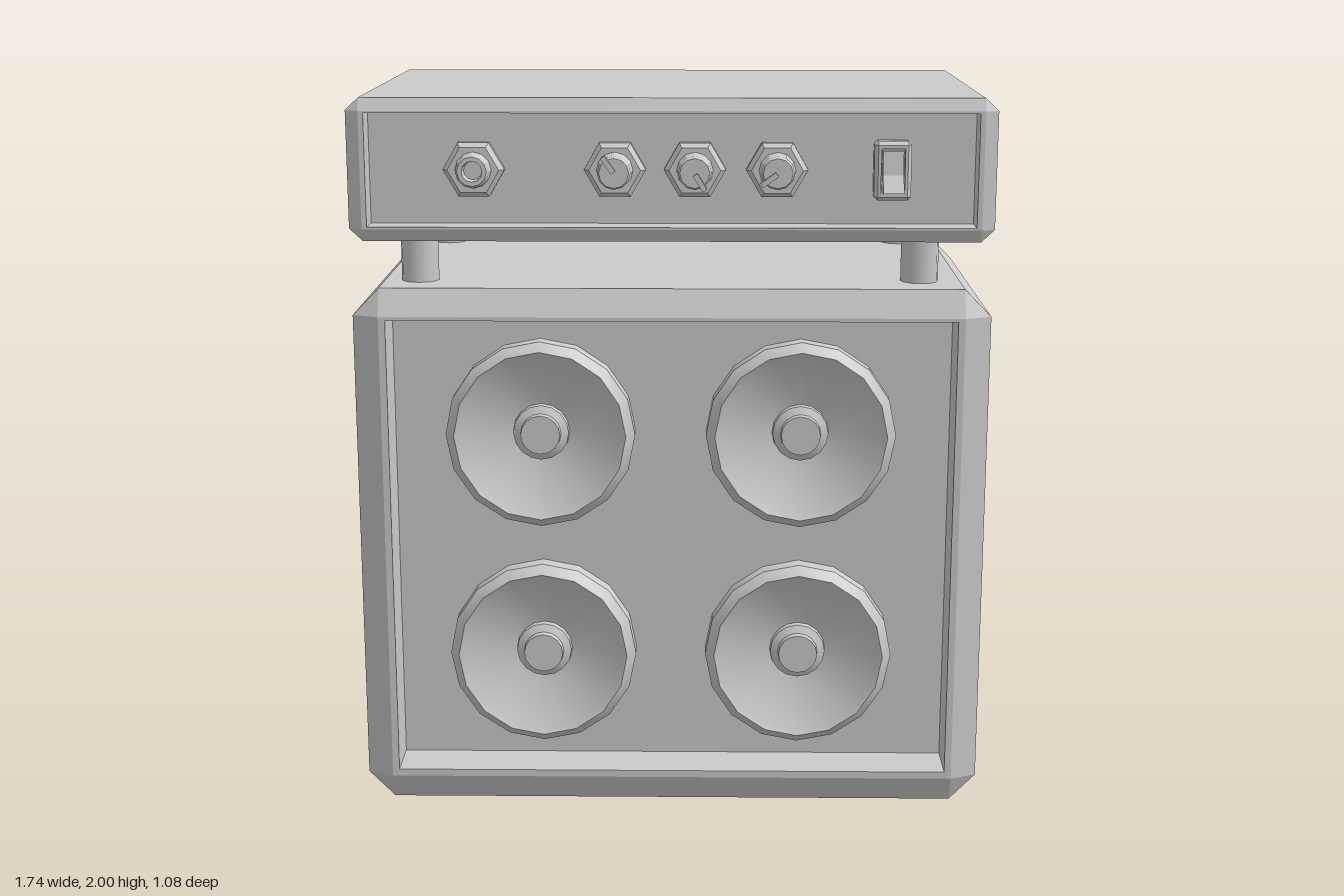
import * as THREE from 'three';
import { toCreasedNormals } from 'three/addons/utils/BufferGeometryUtils.js';

const material = new THREE.MeshStandardMaterial({ color: 0xcccccc });

function addMesh(parent, name, geometry, x = 0, y = 0, z = 0) {
  const mesh = new THREE.Mesh(geometry, material);
  mesh.name = name;
  mesh.position.set(x, y, z);
  parent.add(mesh);
  return mesh;
}

// Eight-point loop: a rectangle with its corners cut by cx and cy
function loop(x, y0, y1, z, cx = 0, cy = 0) {
  return [
    [x, y0 + cy], [x, y1 - cy], [x - cx, y1], [cx - x, y1],
    [-x, y1 - cy], [-x, y0 + cy], [cx - x, y0], [x - cx, y0],
  ].map(([px, py]) => new THREE.Vector3(px, py, z));
}

// Flat faces between successive loops, leaving out collapsed triangles
function loft(loops) {
  const points = [];
  const tri = (a, b, c) => {
    if (new THREE.Triangle(a, b, c).getArea() > 1e-7) points.push(a, b, c);
  };
  for (let k = 0; k < loops.length - 1; k++) {
    for (let i = 0; i < 8; i++) {
      const j = (i + 1) % 8;
      tri(loops[k][i], loops[k][j], loops[k + 1][j]);
      tri(loops[k][i], loops[k + 1][j], loops[k + 1][i]);
    }
  }
  const geometry = new THREE.BufferGeometry().setFromPoints(points);
  geometry.computeVertexNormals();
  return geometry;
}

// Chamfered box with a rectangular recess in its front
function recessedBox({ x, y0, y1, back, front, cx, cy, backCut, frontCut, open, floor }) {
  const mid = (y0 + y1) / 2;
  return loft([
    loop(0, mid, mid, back),
    loop(x - cx, y0 + cy, y1 - cy, back),
    loop(x, y0, y1, back + backCut, cx, cy),
    loop(x, y0, y1, front - frontCut, cx, cy),
    loop(x - cx, y0 + cy, y1 - cy, front),
    loop(open.x, open.y0, open.y1, front),
    loop(open.x, open.y0, open.y1, floor),
    loop(0, mid, mid, floor),
  ]);
}

// Turned part facing +z; profile is [radius, z]
function turned(profile, sides, crease = 0.5) {
  const points = profile.map(([r, z]) => new THREE.Vector2(r, z));
  const geometry = new THREE.LatheGeometry(points, sides).rotateX(Math.PI / 2);
  return toCreasedNormals(geometry, crease);
}

function makeSpeaker() {
  const speaker = new THREE.Group();
  speaker.name = 'speaker';
  addMesh(speaker, 'speakerRimAndCone', turned([
    [0.265, 0], [0.265, 0.05], [0.24, 0.075], [0.228, 0.068], [0.08, 0.005], [0, 0.005],
  ], 16));
  addMesh(speaker, 'speakerHub', turned([
    [0.08, 0], [0.078, 0.025], [0.057, 0.035], [0.055, 0.055], [0, 0.055],
  ], 16));
  return speaker;
}

// Hexagonal nut with points to the left and right
function addNut(parent) {
  const nut = addMesh(parent, 'hexNut', turned([
    [0.084, 0], [0.084, 0.02], [0.07, 0.035], [0, 0.035],
  ], 6, 0.1));
  nut.rotation.z = Math.PI / 2;
  nut.rotation.z = Math.PI / 6 * 3;
}

function makeKnob(turn) {
  const knob = new THREE.Group();
  knob.name = 'knob';
  addNut(knob);
  addMesh(knob, 'knobCap', turned([
    [0.05, 0.03], [0.045, 0.09], [0.04, 0.1], [0, 0.1],
  ], 12));
  const pointer = new THREE.Group();
  pointer.name = 'knobPointer';
  pointer.rotation.z = turn;
  addMesh(pointer, 'pointerRidge', new THREE.BoxGeometry(0.014, 0.05, 0.03), 0, 0.028, 0.095);
  knob.add(pointer);
  return knob;
}

function makeJack() {
  const jack = new THREE.Group();
  jack.name = 'inputJack';
  addNut(jack);
  addMesh(jack, 'jackSocket', turned([
    [0.05, 0.03], [0.046, 0.06], [0.04, 0.07], [0.028, 0.07], [0.025, 0.04], [0, 0.04],
  ], 12));
  return jack;
}

function makeSwitch() {
  const group = new THREE.Group();
  group.name = 'powerSwitch';
  // Bezel with a bevelled edge and a slot for the rocker
  addMesh(group, 'switchBezel', recessedBox({
    x: 0.05, y0: -0.08, y1: 0.08, back: 0, front: 0.045, cx: 0.01, cy: 0.01,
    backCut: 0, frontCut: 0.012, floor: 0.02, open: { x: 0.032, y0: -0.06, y1: 0.06 },
  }));
  const rocker = new THREE.Shape();
  rocker.moveTo(0, -0.055).lineTo(0, 0.055).lineTo(0.03, 0.055).lineTo(0.04, -0.01).lineTo(0.07, -0.055);
  const geometry = new THREE.ExtrudeGeometry(rocker, { depth: 0.056, bevelEnabled: false });
  geometry.translate(0, 0, -0.028).rotateY(-Math.PI / 2);
  addMesh(group, 'switchRocker', geometry, 0, 0, 0.015);
  return group;
}

export function createModel() {
  const model = new THREE.Group();
  model.name = 'stackedAmplifier';

  // Speaker cabinet
  const baffle = 0.38;
  addMesh(model, 'speakerCabinet', recessedBox({
    x: 0.87, y0: 0, y1: 1.485, back: -0.54, front: 0.52, cx: 0.073, cy: 0.075,
    backCut: 0.045, frontCut: 0.032, floor: baffle,
    open: { x: 0.778, y0: 0.095, y1: 1.4 },
  }));
  for (const x of [-0.367, 0.36]) {
    for (const y of [0.417, 1.06]) {
      const speaker = makeSpeaker();
      speaker.position.set(x, y, baffle);
      model.add(speaker);
    }
  }

  // Four posts holding the amplifier head
  for (const x of [-0.7, 0.685]) {
    for (const z of [0.347, -0.36]) {
      addMesh(model, 'post', new THREE.CylinderGeometry(0.052, 0.052, 0.16, 12), x, 1.55, z);
    }
  }

  // Amplifier head
  const panel = 0.43;
  addMesh(model, 'amplifierHead', recessedBox({
    x: 0.87, y0: 1.615, y1: 2, back: -0.53, front: 0.51, cx: 0.036, cy: 0.034,
    backCut: 0.025, frontCut: 0.015, floor: panel,
    open: { x: 0.82, y0: 1.655, y1: 1.96 },
  }));

  // Front panel controls
  const controls = [
    [makeJack(), -0.535], [makeKnob(0.6), -0.153], [makeKnob(-2.6), 0.063],
    [makeKnob(2.2), 0.285], [makeSwitch(), 0.595],
  ];
  for (const [control, x] of controls) {
    control.position.set(x, 1.803, panel);
    model.add(control);
  }
  return model;
}
